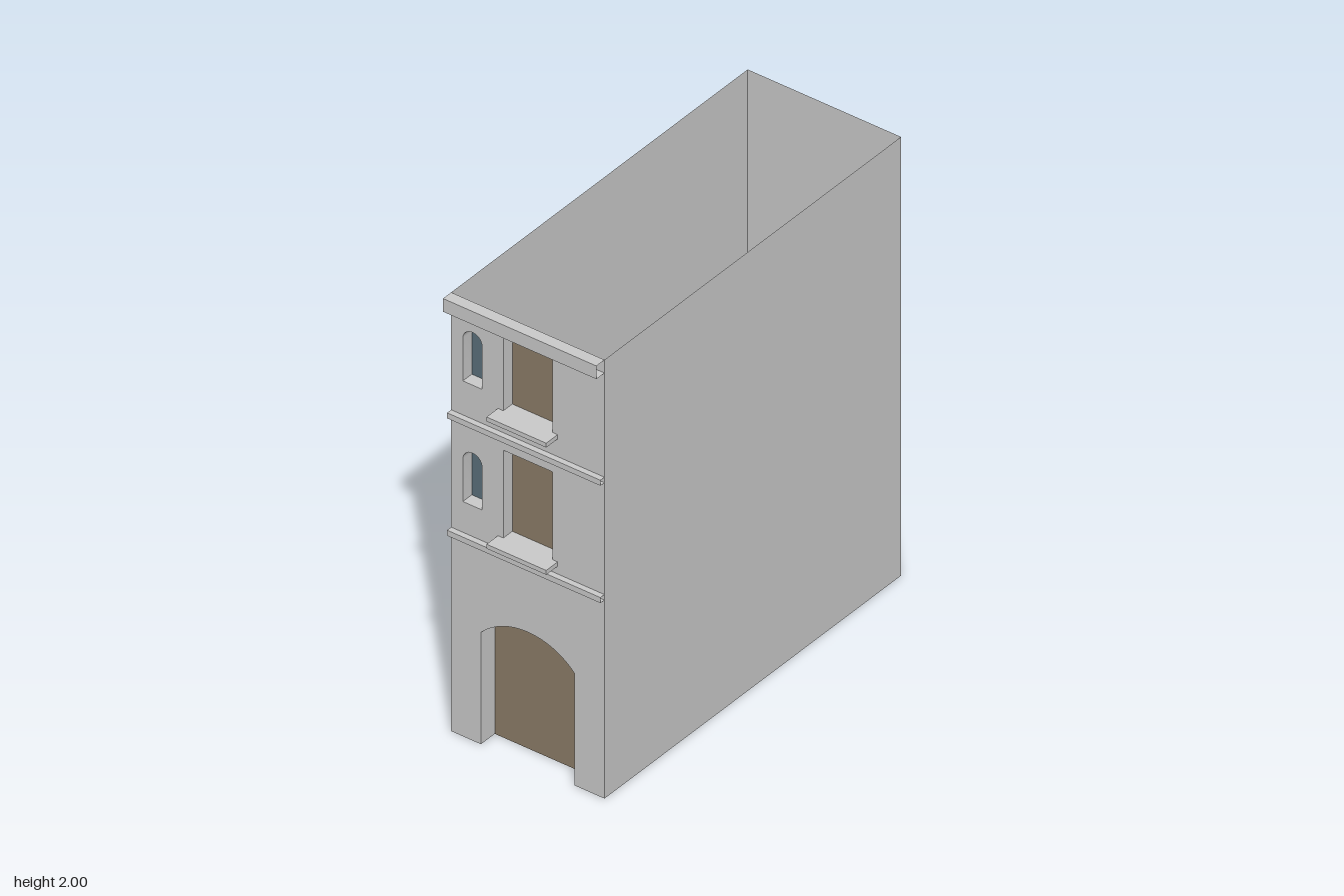
import * as THREE from 'three';
import { toCreasedNormals } from 'three/addons/utils/BufferGeometryUtils.js';

const HALF = 0.36, FRONT = 0.875, BACK = -0.945, TOP = 2;

const material = (color) => new THREE.MeshStandardMaterial({ color, side: THREE.DoubleSide });
const wallMat = material(0xcccccc);
const woodMat = material(0x8c7d68);
const glassMat = material(0x5b707b);

const v3 = (x, y, z) => new THREE.Vector3(x, y, z);

// Open surface made by moving a polyline along a straight direction
function sweep(points, dir) {
  const pos = [];
  for (let i = 0; i < points.length - 1; i++) {
    const a = points[i], b = points[i + 1];
    const c = b.clone().add(dir), d = a.clone().add(dir);
    for (const p of [a, b, c, a, c, d]) pos.push(p.x, p.y, p.z);
  }
  const geo = new THREE.BufferGeometry();
  geo.setAttribute('position', new THREE.Float32BufferAttribute(pos, 3));
  geo.computeVertexNormals();
  return toCreasedNormals(geo, 0.6);
}

// Opening outline, counter-clockwise from bottom right; rise > 0 gives an arched head
function opening(x0, x1, y0, y1, rise = 0) {
  const pts = [new THREE.Vector2(x1, y0)];
  const cx = (x0 + x1) / 2, h = (x1 - x0) / 2;
  if (rise > 0) {
    const r = (h * h + rise * rise) / (2 * rise);
    const half = Math.asin(Math.min(1, h / r)), n = 16;
    for (let i = 0; i <= n; i++) {
      const a = half - (2 * half * i) / n;
      pts.push(new THREE.Vector2(cx + r * Math.sin(a), y1 - r + r * Math.cos(a)));
    }
  } else {
    pts.push(new THREE.Vector2(x1, y1), new THREE.Vector2(x0, y1));
  }
  pts.push(new THREE.Vector2(x0, y0));
  return pts;
}

export function createModel() {
  const model = new THREE.Group();
  const add = (name, geo, mat = wallMat) => {
    const mesh = new THREE.Mesh(geo, mat);
    mesh.name = name;
    model.add(mesh);
    return mesh;
  };

  const door = { name: 'archedDoor', pts: opening(-0.22, 0.22, 0, 0.605, 0.095), depth: 0.085, mat: woodMat };
  const windows = [
    { name: 'lowerBalconyDoor', pts: opening(-0.115, 0.115, 0.985, 1.385), depth: 0.055, mat: woodMat },
    { name: 'upperBalconyDoor', pts: opening(-0.115, 0.115, 1.565, 1.93), depth: 0.055, mat: woodMat },
    { name: 'lowerArchedWindow', pts: opening(-0.305, -0.215, 1.07, 1.31, 0.045), depth: 0.055, mat: glassMat },
    { name: 'upperArchedWindow', pts: opening(-0.305, -0.215, 1.62, 1.86, 0.045), depth: 0.055, mat: glassMat },
  ];

  // Front wall with the doorway cut into its foot and the windows as holes
  const facade = new THREE.Shape([
    new THREE.Vector2(-HALF, 0), ...door.pts.slice().reverse(), new THREE.Vector2(HALF, 0),
    new THREE.Vector2(HALF, TOP), new THREE.Vector2(-HALF, TOP),
  ]);
  facade.holes = windows.map((w) => new THREE.Path(w.pts));
  add('frontWall', new THREE.ShapeGeometry(facade)).position.z = FRONT;

  // Side and back walls, open above and below
  add('sideAndBackWalls', sweep([
    v3(HALF, 0, FRONT), v3(HALF, 0, BACK), v3(-HALF, 0, BACK), v3(-HALF, 0, FRONT),
  ], v3(0, TOP, 0)));

  // Recessed reveals and panels of the front openings
  for (const o of [door, ...windows]) {
    const edge = o.pts.map((p) => v3(p.x, p.y, FRONT));
    if (o !== door) edge.push(edge[0].clone());
    add(o.name + 'Reveal', sweep(edge, v3(0, 0, -o.depth)));
    add(o.name, new THREE.ShapeGeometry(new THREE.Shape(o.pts)), o.mat).position.z = FRONT - o.depth;
  }

  // Cornice and string courses, open at the ends
  for (const [name, y0, y1, out] of [
    ['lowerStringCourse', 0.905, 0.93, 0.025],
    ['upperStringCourse', 1.44, 1.465, 0.025],
    ['cornice', 1.94, TOP, 0.05],
  ]) {
    add(name, sweep([
      v3(-HALF, y1, FRONT), v3(-HALF, y1, FRONT + out),
      v3(-HALF, y0, FRONT + out), v3(-HALF, y0, FRONT),
    ], v3(2 * HALF, 0, 0)));
  }

  // Balcony slabs
  for (const [name, y] of [['lowerBalconySlab', 0.975], ['upperBalconySlab', 1.555]]) {
    add(name, new THREE.BoxGeometry(0.28, 0.02, 0.07)).position.set(0, y, FRONT + 0.035);
  }

  // Back door and windows, flush with the wall
  for (const [name, x0, x1, y0, y1, mat] of [
    ['backDoor', 0.11, 0.255, 0, 0.43, woodMat],
    ['lowerBackWindow', -0.08, 0.08, 1.005, 1.24, glassMat],
    ['upperBackWindow', -0.08, 0.08, 1.585, 1.82, glassMat],
  ]) {
    const panel = add(name, new THREE.PlaneGeometry(x1 - x0, y1 - y0), mat);
    panel.rotation.y = Math.PI;
    panel.position.set((x0 + x1) / 2, (y0 + y1) / 2, BACK - 0.002);
  }

  return model;
}
